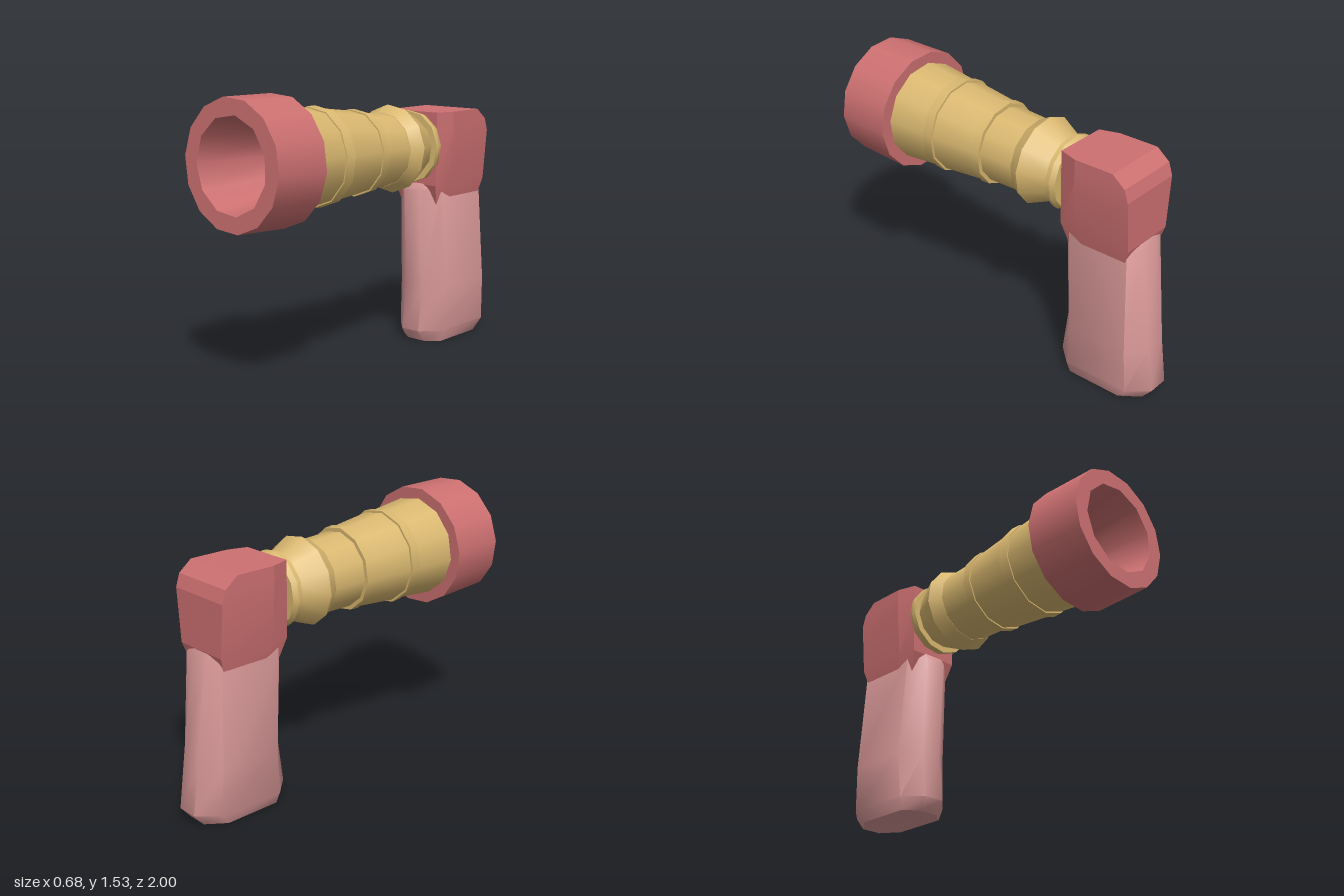
import * as THREE from 'three';
import { toCreasedNormals } from 'three/addons/utils/BufferGeometryUtils.js';

const material = (name, color, side = THREE.FrontSide) => {
  const m = new THREE.MeshStandardMaterial({ color, side });
  m.name = name;
  return m;
};

// Closed solid through horizontal loops, bottom to top, corners anticlockwise from above
function loft(loops, crease) {
  const n = loops[0].length, pos = loops.flat(2), idx = [];
  const top = (loops.length - 1) * n;
  for (let i = 0; i < loops.length - 1; i++)
    for (let j = 0; j < n; j++) {
      const a = i * n + j, b = i * n + (j + 1) % n;
      idx.push(a, b, b + n, a, b + n, a + n);
    }
  for (let j = 1; j < n - 1; j++) idx.push(0, j + 1, j, top, top + j, top + j + 1);
  const g = new THREE.BufferGeometry();
  g.setAttribute('position', new THREE.Float32BufferAttribute(pos, 3));
  g.setIndex(idx);
  return toCreasedNormals(g, crease);
}

// Mirrors the +x half of a cross-section (front to back) into a full loop
const mirrored = (y, half) => [
  ...half.map(([x, z]) => [x, y, z]),
  ...half.slice().reverse().map(([x, z]) => [-x, y, z]),
];

// Frustum along z, from zBack to zFront
function frustum(zBack, rBack, zFront, rFront, sides, phase, open = false) {
  return new THREE.CylinderGeometry(rFront, rBack, zFront - zBack, sides, 1, open, phase)
    .rotateX(Math.PI / 2).translate(0, 0, (zFront + zBack) / 2);
}

// Polygon matching the frustum corners, drawn in the xy plane
const polygon = (r, sides, phase) => Array.from({ length: sides }, (_, i) => {
  const a = phase + i * 2 * Math.PI / sides;
  return new THREE.Vector2(r * Math.sin(a), -r * Math.cos(a));
});

export function createModel() {
  const model = new THREE.Group();
  model.name = 'nozzle';
  const red = material('red', 0xcd7071, THREE.DoubleSide);
  const pink = material('pink', 0xd89797);
  const gold = material('gold', 0xdab870);
  const add = (parent, name, geometry, mat) => {
    const mesh = new THREE.Mesh(geometry, mat);
    mesh.name = name;
    parent.add(mesh);
  };

  // Barrel assembly, tipped slightly upward at the muzzle
  const barrel = new THREE.Group();
  barrel.name = 'barrel';
  barrel.position.set(0, 1.17, -0.005);
  barrel.rotation.x = -0.025;
  model.add(barrel);

  // Gold sections: back z, back radius, front z, front radius
  [
    ['frontTaper', 0.44, 0.257, 0.70, 0.283, true],
    ['frontBand', 0.385, 0.268, 0.445, 0.265],
    ['middleTaper', 0.12, 0.228, 0.39, 0.256],
    ['rearBand', 0.075, 0.234, 0.125, 0.237],
    ['rearTube', -0.13, 0.205, 0.08, 0.212],
    ['collarFront', -0.20, 0.247, -0.13, 0.207],
    ['collarRear', -0.37, 0.165, -0.20, 0.247],
    ['flangeFront', -0.385, 0.207, -0.36, 0.207],
    ['flangeRear', -0.415, 0.195, -0.385, 0.207],
    ['neck', -0.50, 0.14, -0.41, 0.14],
  ].forEach(([name, zb, rb, zf, rf, open]) =>
    add(barrel, name, frustum(zb, rb, zf, rf, 12, 0.1, open), gold));

  // Muzzle ring with a tapered bore
  add(barrel, 'muzzleWall', frustum(0.68, 0.343, 1, 0.337, 14, 0.15, true), red);
  const face = new THREE.Shape(polygon(0.337, 14, 0.15));
  face.holes.push(new THREE.Path(polygon(0.25, 11, 0.16)));
  add(barrel, 'muzzleFace', new THREE.ShapeGeometry(face).translate(0, 0, 1), red);
  const back = new THREE.Shape(polygon(0.343, 14, 0.15));
  back.holes.push(new THREE.Path(polygon(0.262, 14, 0.15)));
  add(barrel, 'muzzleBack', new THREE.ShapeGeometry(back).translate(0, 0, 0.68), red);
  add(barrel, 'bore', frustum(0.55, 0.18, 1, 0.25, 11, 0.16, true), red);
  add(barrel, 'boreEnd', new THREE.ShapeGeometry(
    new THREE.Shape(polygon(0.18, 11, 0.16))).translate(0, 0, 0.55), red);
  add(barrel, 'boreCore', frustum(0.551, 0.14, 0.559, 0.14, 4, 0.12), gold);

  // Head block: y, front half width, half width, front z, back z
  const head = [
    [0.79, 0.12, 0.135, -0.48, -0.82],
    [0.94, 0.15, 0.165, -0.43, -0.868],
    [1.23, 0.155, 0.19, -0.43, -0.868],
    [1.30, 0.155, 0.19, -0.43, -0.845],
    [1.36, 0.155, 0.19, -0.43, -0.77],
  ].map(([y, wf, w, zf, zb]) => mirrored(y, [[wf, zf], [w, zf - 0.11], [w, zb]]));
  add(model, 'head', loft(head, 0.3), red);

  // Handle: y, half width, front z, front shoulder z, back shoulder z, back z
  const handle = [
    [0, 0.137, -0.45, -0.51, -0.835, -0.94],
    [0.07, 0.158, -0.395, -0.50, -0.89, -1],
    [0.33, 0.168, -0.43, -0.52, -0.88, -0.965],
    [0.91, 0.148, -0.405, -0.485, -0.85, -0.885],
    [0.96, 0.13, -0.44, -0.49, -0.82, -0.85],
  ].map(([y, w, zf, sf, sb, zb]) =>
    mirrored(y, [[0.06, zf], [w, sf], [w, sb], [0.06, zb]]));
  add(model, 'handle', loft(handle, 0.9), pink);

  return model;
}
